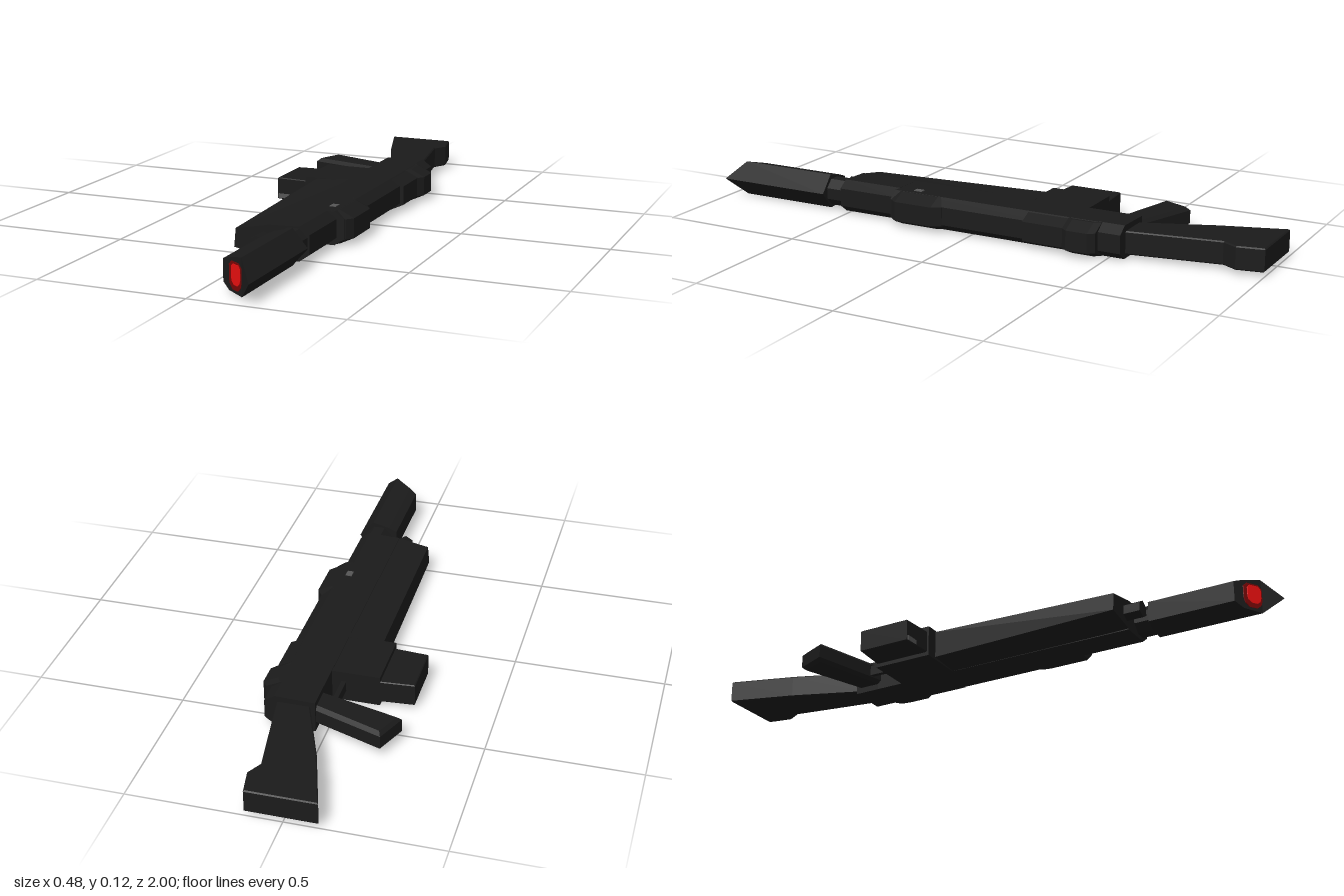
import * as THREE from 'three';

const material = (name, color) => {
  const m = new THREE.MeshStandardMaterial({ color });
  m.name = name;
  return m;
};

export function createModel() {
  const group = new THREE.Group();
  const gunmetal = material('gunmetal', 0x1b1b1b);
  const darkRed = material('dark red', 0x760606);
  const red = material('glowing red', 0xf01010);
  const grey = material('worn grey', 0x555555);

  const add = (name, geometry, mat = gunmetal) => {
    const mesh = new THREE.Mesh(geometry, mat);
    mesh.name = name;
    group.add(mesh);
    return mesh;
  };

  // Flat part cut from an x/z outline, with chamfered edges, between two heights
  const slab = (name, outline, y0, y1, bevel) => {
    const shape = new THREE.Shape(outline.map(([x, z]) => new THREE.Vector2(x, -z)));
    const geo = new THREE.ExtrudeGeometry(shape, {
      depth: y1 - y0 - 2 * bevel, bevelEnabled: true, bevelSegments: 1,
      bevelSize: bevel, bevelThickness: bevel, bevelOffset: -bevel,
    });
    geo.rotateX(-Math.PI / 2).translate(0, y0 + bevel, 0);
    return add(name, geo);
  };

  // Faceted solid joining convex x/y sections; z may be a number or a function of x
  const loft = (name, sections, mat) => {
    const rings = sections.map(([z, pts]) =>
      pts.map(([x, y]) => [x, y, typeof z === 'function' ? z(x) : z]));
    const pos = [];
    const tri = (a, b, c) => pos.push(...a, ...b, ...c);
    const n = rings[0].length;
    for (let s = 0; s < rings.length - 1; s++) {
      const a = rings[s], b = rings[s + 1];
      for (let i = 0; i < n; i++) {
        const j = (i + 1) % n;
        tri(a[i], a[j], b[j]);
        tri(a[i], b[j], b[i]);
      }
    }
    const first = rings[0], last = rings[rings.length - 1];
    for (let i = 1; i < n - 1; i++) {
      tri(first[0], first[i + 1], first[i]);
      tri(last[0], last[i], last[i + 1]);
    }
    const geo = new THREE.BufferGeometry();
    geo.setAttribute('position', new THREE.Float32BufferAttribute(pos, 3));
    geo.computeVertexNormals();
    return add(name, geo, mat);
  };

  const prism = (name, pts, z0, z1, mat) => loft(name, [[z0, pts], [z1, pts]], mat);
  const ellipse = (cx, cy, rx, ry, n) => Array.from({ length: n }, (_, i) => {
    const a = (i + 0.5) / n * Math.PI * 2;
    return [cx + rx * Math.cos(a), cy + ry * Math.sin(a)];
  });
  const box = (name, x0, x1, y0, y1, z0, z1, mat) =>
    prism(name, [[x0, y0], [x1, y0], [x1, y1], [x0, y1]], z0, z1, mat);

  // Shoulder stock and grip
  slab('stock', [[-0.11, -1], [-0.04, -0.78], [0.055, -0.54], [0.163, -0.54],
    [0.11, -0.86], [0.137, -0.91], [0.12, -1]], 0.017, 0.095, 0.004);
  slab('grip', [[-0.195, -0.625], [-0.238, -0.52], [0.05, -0.445], [0.06, -0.535]],
    0.024, 0.092, 0.012);
  box('triggerGuard', -0.012, 0.004, 0.04, 0.075, -0.47, -0.35);

  // Receiver with its narrower front end
  const receiver = (edge) => [[0.035, 0.004], [edge - 0.035, 0.004], [edge, 0.03],
    [edge, 0.092], [edge - 0.035, 0.116], [0.035, 0.112]];
  prism('receiverRear', receiver(0.203), -0.55, -0.46);
  prism('receiver', receiver(0.207), -0.46, 0.3);
  prism('receiverFront', receiver(0.18), 0.3, 0.52);

  // Raised covers along the outer edge
  const cover = (edge) => [[0.15, 0.008], [edge - 0.05, 0.003], [edge, 0.026],
    [edge, 0.092], [edge - 0.05, 0.116], [0.15, 0.112]];
  loft('rearCover', [[-0.472, cover(0.222)], [-0.45, cover(0.238)], [-0.375, cover(0.238)],
    [-0.355, cover(0.222)]]);
  prism('sideCover', cover(0.22), -0.37, -0.21);
  loft('frontCover', [[0.1, cover(0.208)], [0.13, cover(0.228)], [0.27, cover(0.228)],
    [0.295, cover(0.208)]]);

  // Handguard, tapering towards the muzzle
  loft('handguard', [
    [-0.16, [[-0.082, 0.012], [0.045, 0.004], [0.045, 0.112], [-0.082, 0.106]]],
    [0.52, [[-0.078, 0.028], [0.045, 0.006], [0.045, 0.112], [-0.072, 0.09]]],
  ]);

  // Magazine well and magazine
  box('magazineWell', -0.125, 0.045, 0.003, 0.11, -0.36, -0.15);
  slab('magazine', [[-0.238, -0.35], [-0.238, -0.165], [-0.1, -0.155], [-0.1, -0.36]],
    0.016, 0.093, 0.003);
  box('magazineMark', -0.233, -0.185, 0.02, 0.036, -0.167, -0.161, grey);

  // Barrel and the rod beneath it
  prism('barrel', ellipse(0.127, 0.064, 0.05, 0.05, 8), 0.5, 0.6);
  prism('rod', ellipse(0.025, 0.06, 0.029, 0.03, 6), 0.5, 0.578);

  // Suppressor with a slanted, pointed end
  const slant = (offset) => (x) =>
    0.88 + (x - 0.06) * 0.667 + Math.max(0, x - 0.15) * 0.53 + offset;
  const tube = [[0.15, 0.008], [0.2, 0.068], [0.15, 0.127], [0.09, 0.112],
    [0.062, 0.1], [0.062, 0.03], [0.09, 0.012]];
  loft('suppressor', [[0.58, tube], [slant(0), tube]]);

  // Glowing bore: shield-shaped ring and centre
  const shield = (x0, x1, y0, y1) => {
    const w = x1 - x0, h = y1 - y0;
    return [[0.3, 0], [0.7, 0], [0.93, 0.15], [1, 0.35], [1, 0.85], [0.8, 1],
      [0.2, 1], [0, 0.85], [0, 0.35], [0.07, 0.15]].map(([u, v]) => [x0 + u * w, y0 + v * h]);
  };
  const bore = shield(0.091, 0.15, 0.02, 0.105);
  const glow = shield(0.102, 0.145, 0.036, 0.099);
  loft('boreRing', [[slant(-0.002), bore], [slant(0.002), bore]], darkRed);
  loft('boreGlow', [[slant(0), glow], [slant(0.004), glow]], red);

  // Small plate on top
  box('topPlate', 0.13, 0.152, 0.113, 0.1175, 0.21, 0.24, grey);

  return group;
}
